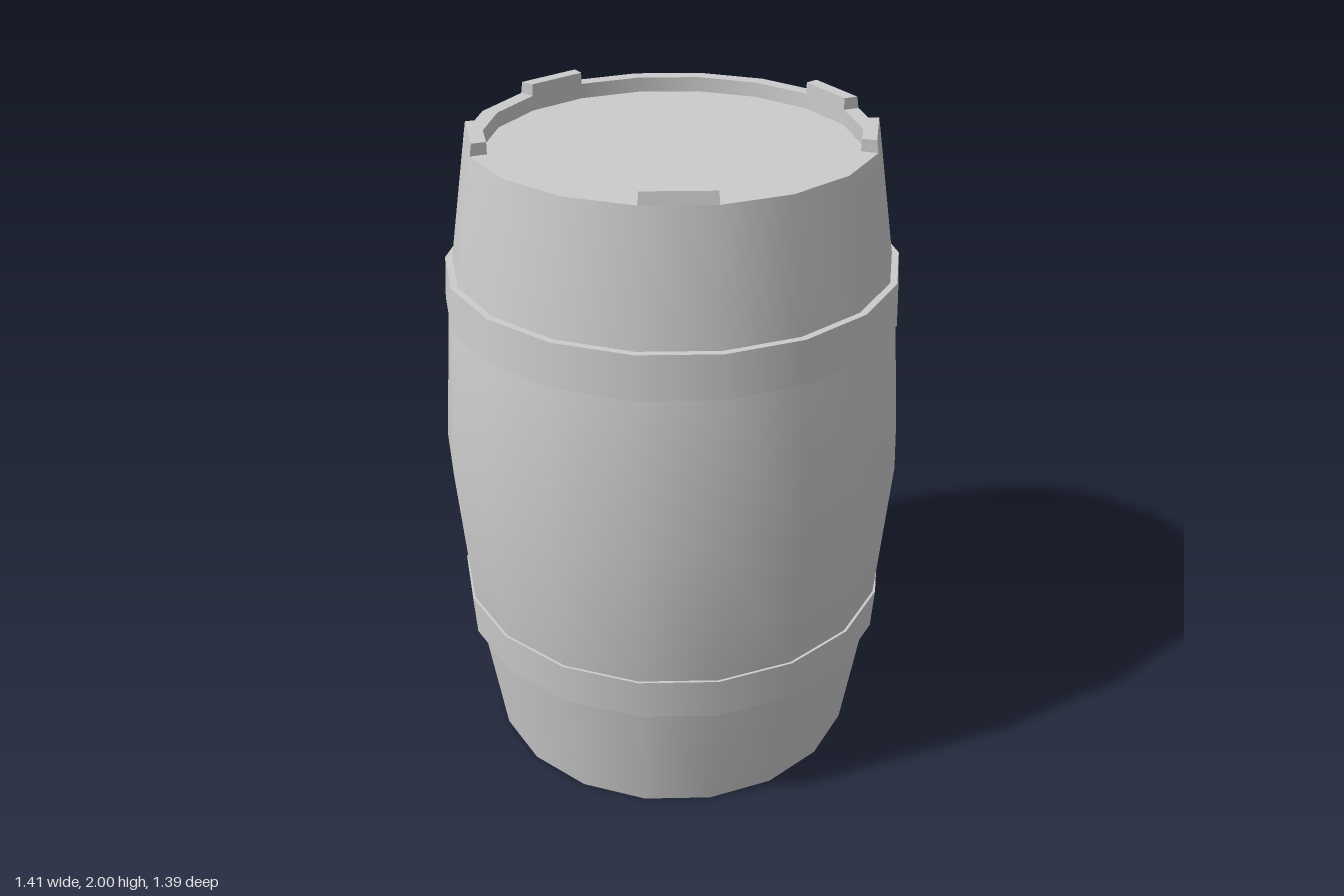
import * as THREE from 'three';

const SIDES = 18;
const WALL = 0.54; // inner radius of the rims
const RIM = 1.965; // height of the upper rim
const material = new THREE.MeshStandardMaterial({ color: 0xcccccc });

// Turned part: each strip is a smooth profile, edges between strips stay sharp
function turned(name, strips) {
  const group = new THREE.Group();
  group.name = name;
  strips.forEach((strip, i) => {
    const points = strip.map(([r, y]) => new THREE.Vector2(r, y));
    const mesh = new THREE.Mesh(new THREE.LatheGeometry(points, SIDES, Math.PI / 2), material);
    mesh.name = `${name}Surface${i + 1}`;
    group.add(mesh);
  });
  return group;
}

// Raised stave end: a box bent to one side of the rim, starting at a given angle
function staveEnd(startDegrees) {
  const geometry = new THREE.BoxGeometry(1, 1, 1);
  const p = geometry.attributes.position;
  for (let i = 0; i < p.count; i++) {
    const angle = THREE.MathUtils.degToRad(startDegrees + 10 - p.getX(i) * 20);
    const top = p.getY(i) > 0;
    const r = p.getZ(i) < 0 ? WALL : top ? 0.582 : 0.588;
    p.setXYZ(i, r * Math.cos(angle), top ? 2 : RIM, r * Math.sin(angle));
  }
  geometry.computeVertexNormals();
  const mesh = new THREE.Mesh(geometry, material);
  mesh.name = 'staveEnd';
  return mesh;
}

export function createModel() {
  const barrel = new THREE.Group();
  barrel.name = 'barrel';

  // Bulging outer wall with both rims
  barrel.add(turned('barrelBody', [
    [[0.588, 0], [0.668, 0.53], [0.704, 0.992], [0.668, 1.46], [0.588, RIM]],
    [[0.588, RIM], [WALL, RIM]],
    [[WALL, RIM], [WALL, 1.92]],
    [[WALL, 0.045], [WALL, 0]],
    [[WALL, 0], [0.588, 0]],
  ]));

  // Recessed lid and bottom
  barrel.add(turned('lid', [[[WALL, 1.92], [0, 1.92]]]));
  barrel.add(turned('bottom', [[[0, 0.045], [WALL, 0.045]]]));

  // Hoops
  barrel.add(turned('upperHoop', [
    [[0.66, 1.46], [0.676, 1.46]],
    [[0.676, 1.46], [0.668, 1.59]],
    [[0.668, 1.59], [0.64, 1.59]],
  ]));
  barrel.add(turned('lowerHoop', [
    [[0.64, 0.397], [0.668, 0.397]],
    [[0.668, 0.397], [0.676, 0.53]],
    [[0.676, 0.53], [0.66, 0.53]],
  ]));

  // Uneven stave ends standing above the upper rim
  for (const angle of [0, 80, 160, 220, 320]) barrel.add(staveEnd(angle));

  return barrel;
}
